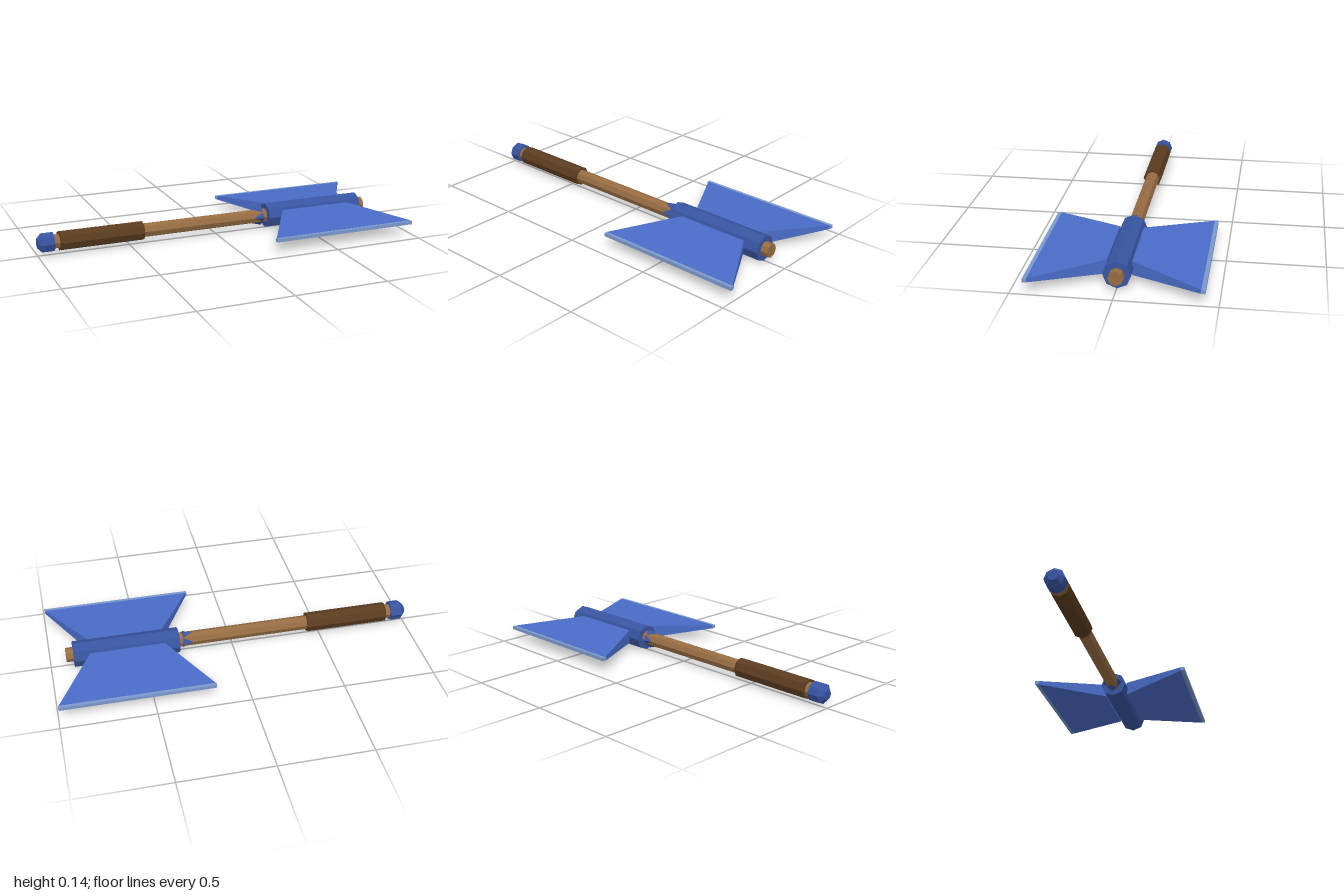
import * as THREE from 'three';

const AXIS_Y = 0.07; // height of the handle axis

function material(name, color) {
  const m = new THREE.MeshStandardMaterial({ color, flatShading: true });
  m.name = name;
  return m;
}

export function createModel() {
  const wood = material('wood', 0x966c42);
  const leather = material('dark leather', 0x5a3c20);
  const darkBlue = material('dark blue metal', 0x3854a0);
  const blue = material('blue blade', 0x4a6cc8);
  const steel = material('pale edge', 0x7a98cc);

  const group = new THREE.Group();
  group.name = 'doubleAxe';

  function add(parent, name, geometry, mat) {
    const mesh = new THREE.Mesh(geometry, mat);
    mesh.name = name;
    parent.add(mesh);
    return mesh;
  }

  // Faceted bar along x, from x0 (radius r0) to x1 (radius r1)
  function bar(name, x0, x1, r0, r1, mat, sides = 8) {
    const g = new THREE.CylinderGeometry(r1, r0, x1 - x0, sides);
    g.rotateZ(-Math.PI / 2);
    g.translate((x0 + x1) / 2, AXIS_Y, 0);
    return add(group, name, g, mat);
  }

  // Handle
  bar('shaft', -0.93, 0.915, 0.039, 0.039, wood);
  bar('grip', -0.885, -0.425, 0.053, 0.053, leather);
  bar('pommel', -0.975, -0.915, 0.053, 0.053, darkBlue);
  bar('pommelTip', -1, -0.975, 0.027, 0.053, darkBlue);

  // Head socket with a four-sided collar whose ridges break through the shaft
  bar('headSocket', 0.3, 0.875, 0.07, 0.07, darkBlue);
  bar('collar', 0.205, 0.277, 0.034, 0.055, darkBlue, 4);

  // Flared blades, thick at the root and thin at the edge
  for (const side of [0, 1]) {
    const blade = new THREE.Group();
    blade.name = side ? 'backBlade' : 'frontBlade';
    blade.position.set(0.585, AXIS_Y, 0);
    blade.rotation.x = side * Math.PI;
    group.add(blade);

    const g = new THREE.BoxGeometry(1, 1, 1);
    const p = g.attributes.position;
    for (let i = 0; i < p.count; i++) {
      const root = p.getZ(i) < 0;
      p.setXYZ(i,
        Math.sign(p.getX(i)) * (root ? 0.203 : 0.405),
        Math.sign(p.getY(i)) * (root ? 0.037 : 0.0105),
        root ? 0.062 : 0.415);
    }
    g.computeVertexNormals();
    add(blade, 'bladeBody', g, blue);

    add(blade, 'cuttingEdge', new THREE.BoxGeometry(0.82, 0.018, 0.022), steel)
      .position.z = 0.424;
  }

  return group;
}
